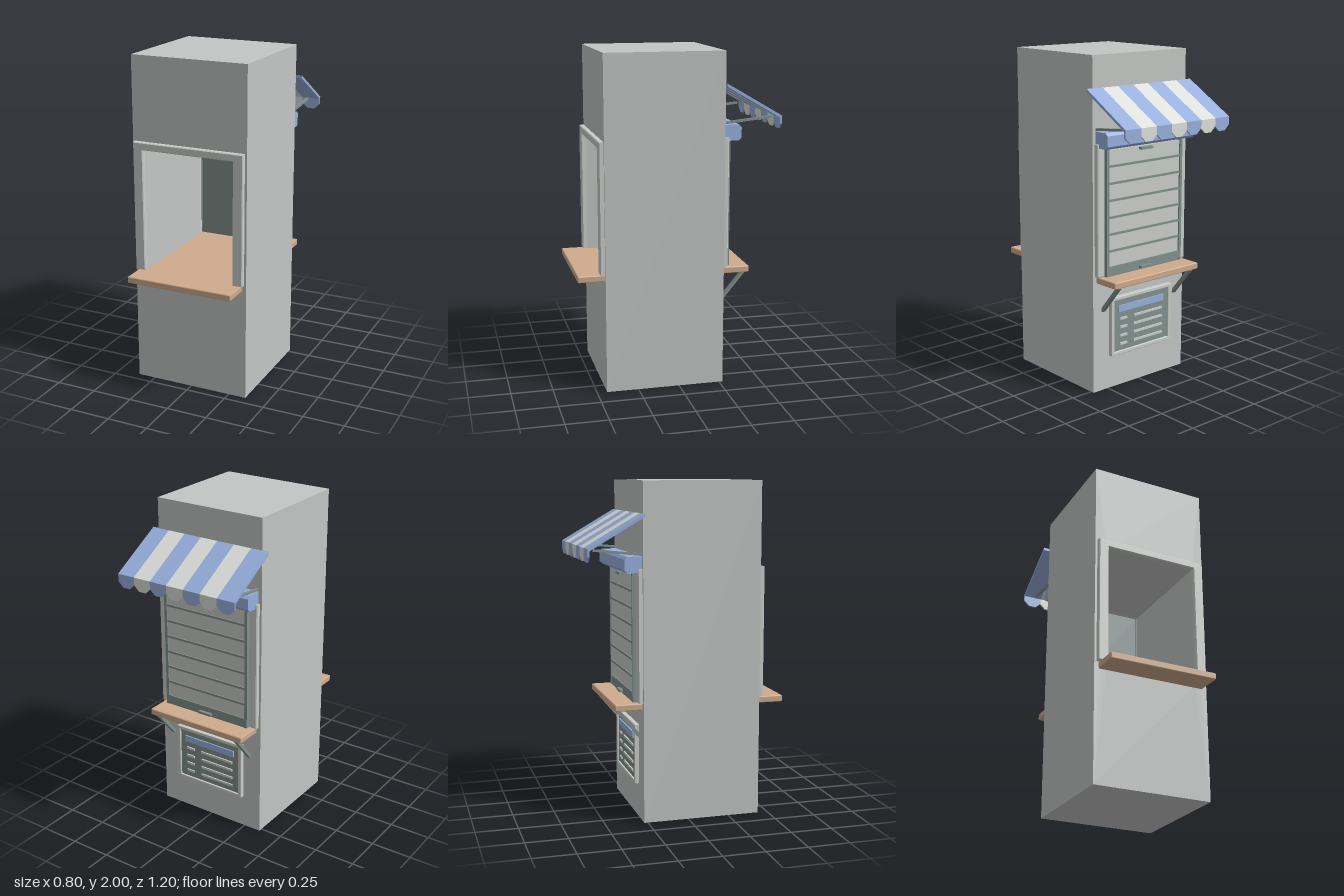
import * as THREE from 'three';
import { RoundedBoxGeometry } from 'three/addons/geometries/RoundedBoxGeometry.js';

const mat = (name, color) => {
  const m = new THREE.MeshStandardMaterial({ color });
  m.name = name;
  return m;
};

export function createModel() {
  const wall = mat('wall grey', 0xc3c6c4);
  const trim = mat('trim grey', 0xcaceca);
  const wood = mat('wood', 0xcfab8d);
  const metal = mat('green grey metal', 0x82918e);
  const blue = mat('awning blue', 0x98b0de);
  const white = mat('awning white', 0xdde0dd);

  const model = new THREE.Group();
  model.name = 'serviceKiosk';

  const add = (name, geometry, material, parent = model) => {
    const mesh = new THREE.Mesh(geometry, material);
    mesh.name = name;
    parent.add(mesh);
    return mesh;
  };
  const group = (name) => {
    const g = new THREE.Group();
    g.name = name;
    model.add(g);
    return g;
  };
  // Box given by its limits; a chamfer softens the edges
  const box = (name, material, [x0, x1], [y0, y1], [z0, z1], parent, chamfer = 0) => {
    const size = [x1 - x0, y1 - y0, z1 - z0];
    const geo = chamfer ? new RoundedBoxGeometry(...size, 1, chamfer) : new THREE.BoxGeometry(...size);
    const mesh = add(name, geo, material, parent);
    mesh.position.set((x0 + x1) / 2, (y0 + y1) / 2, (z0 + z1) / 2);
    return mesh;
  };
  const shapeOf = (pts) => new THREE.Shape(pts.map(([x, y]) => new THREE.Vector2(x, y)));
  // Side profile of [z, y] points, extruded across x
  const acrossX = (pts, x0, x1) =>
    new THREE.ExtrudeGeometry(shapeOf(pts.map(([z, y]) => [-z, y])), { depth: x1 - x0, bevelEnabled: false })
      .rotateY(Math.PI / 2).translate(x0, 0, 0);
  // Square bar between two [z, y] points
  const strut = (name, x, [z0, y0], [z1, y1], width, thick, parent) => {
    const mesh = add(name, new THREE.BoxGeometry(width, thick, Math.hypot(z1 - z0, y1 - y0)), metal, parent);
    mesh.position.set(x, (y0 + y1) / 2, (z0 + z1) / 2);
    mesh.rotation.x = -Math.atan2(y1 - y0, z1 - z0);
  };

  // Wall block with the hatch running right through it
  const block = shapeOf([[-0.36, 0], [0.36, 0], [0.36, 2], [-0.36, 2]]);
  block.holes.push(new THREE.Path([[-0.285, 0.69], [-0.285, 1.455], [0.285, 1.455], [0.285, 0.69]]
    .map(([x, y]) => new THREE.Vector2(x, y))));
  add('wallBlock', new THREE.ExtrudeGeometry(block, { depth: 0.713, bevelEnabled: false }), wall)
    .position.z = -0.272;

  // Counter board through the hatch
  box('counter', wood, [-0.333, 0.333], [0.675, 0.715], [-0.437, 0.6], model, 0.007);

  // Hatch surrounds on both faces
  const b = 0.005;
  const o = 0.347 - b, i = 0.285 + b;
  const surround = shapeOf([[-o, 0.717 + b], [-i, 0.717 + b], [-i, 1.455 + b], [i, 1.455 + b],
    [i, 0.717 + b], [o, 0.717 + b], [o, 1.5 - b], [-o, 1.5 - b]]);
  const surroundGeo = new THREE.ExtrudeGeometry(surround,
    { depth: 0.03, bevelSize: b, bevelThickness: b, bevelSegments: 1 });
  add('frontSurround', surroundGeo, trim).position.z = 0.435;
  add('backSurround', surroundGeo, trim).position.z = -0.295;

  // Roller shutter
  const shutter = group('shutter');
  box('shutterPanel', metal, [-0.283, 0.283], [0.716, 1.46], [-0.306, -0.296], shutter);
  const pitch = 0.1;
  for (let n = 0; n < 7; n++) {
    const y = 0.762 + n * pitch;
    box('slat', trim, [-0.278, 0.278], [y + 0.012, y + pitch], [-0.313, -0.304], shutter);
    box('slatRib', metal, [-0.278, 0.278], [y, y + 0.013], [-0.32, -0.304], shutter);
  }
  box('bottomBar', metal, [-0.278, 0.278], [0.717, 0.764], [-0.32, -0.304], shutter);
  box('handle', metal, [-0.045, 0.045], [0.727, 0.742], [-0.34, -0.315], shutter);
  box('topCatch', metal, [-0.045, 0.045], [1.443, 1.457], [-0.34, -0.31], shutter);
  for (const s of [-1, 1]) {
    const xs = [s * 0.287 - 0.009, s * 0.287 + 0.009];
    box('guideRail', metal, xs, [0.717, 1.475], [-0.322, -0.29], shutter);
  }

  // Shutter housing
  add('shutterHousing', acrossX([[-0.268, 1.478], [-0.36, 1.478], [-0.376, 1.494], [-0.376, 1.556],
    [-0.36, 1.572], [-0.268, 1.572]], -0.338, 0.338), blue);

  // Striped awning with a trapezoid valance flap under each stripe
  const awning = group('awning');
  const stripes = 7, w = 0.8 / stripes;
  const flap = new THREE.ExtrudeGeometry(shapeOf([[0, 1.578], [w * 0.3, 1.546], [w * 0.7, 1.546],
    [w, 1.578], [w, 1.618], [0, 1.618]]), { depth: 0.012, bevelEnabled: false });
  for (let n = 0; n < stripes; n++) {
    const x = -0.4 + n * w;
    const m = n % 2 ? white : blue;
    add('awningStripe', acrossX([[-0.27, 1.816], [-0.27, 1.798], [-0.592, 1.61], [-0.6, 1.61],
      [-0.6, 1.624]], x, x + w), m, awning);
    add('valanceFlap', flap, m, awning).position.set(x, 0, -0.6);
  }

  // Awning arms and counter brackets
  for (const s of [-1, 1]) {
    strut('awningArm', s * 0.33, [-0.268, 1.582], [-0.557, 1.612], 0.016, 0.014, awning);
    strut('counterBracket', s * 0.285, [-0.27, 0.5], [-0.418, 0.677], 0.024, 0.02);
  }

  // Menu board
  const board = group('menuBoard');
  box('boardPanel', metal, [-0.225, 0.225], [0.22, 0.56], [-0.288, -0.268], board);
  for (const y of [0.205, 0.548]) {
    box('boardRail', trim, [-0.24, 0.24], [y, y + 0.022], [-0.299, -0.268], board, 0.004);
  }
  for (const x of [-0.24, 0.218]) {
    box('boardStile', trim, [x, x + 0.022], [0.205, 0.57], [-0.299, -0.268], board, 0.004);
  }
  box('boardHeader', blue, [-0.18, 0.18], [0.472, 0.512], [-0.296, -0.287], board);
  for (let n = 0; n < 4; n++) {
    const y = 0.262 + n * 0.053;
    box('shortLine', trim, [0.115, 0.17], [y, y + 0.014], [-0.296, -0.287], board);
    box('longLine', trim, [-0.17, 0.06], [y, y + 0.014], [-0.296, -0.287], board);
  }

  return model;
}
